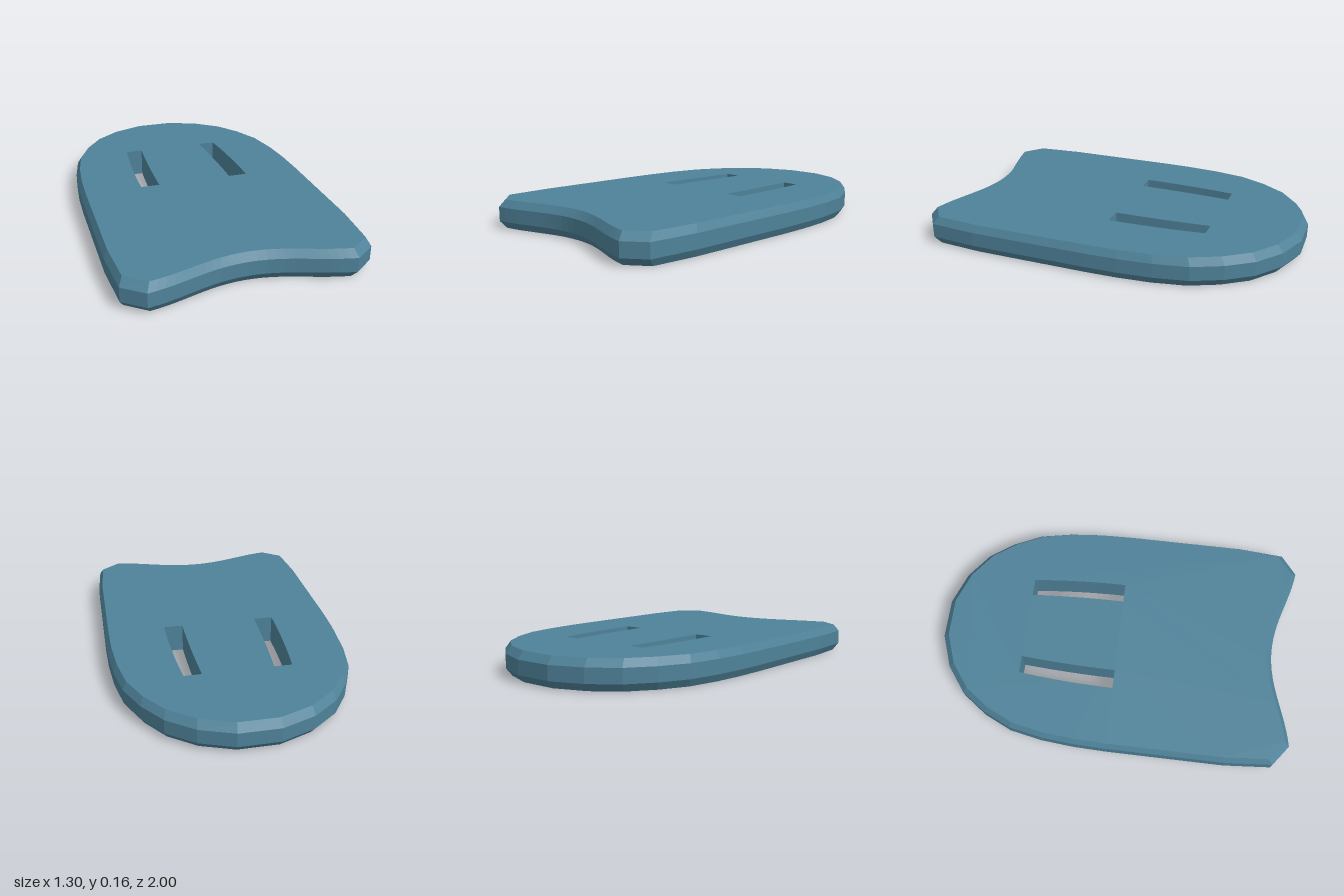
import * as THREE from 'three';
import { mergeGeometries } from 'three/addons/utils/BufferGeometryUtils.js';

const HEIGHT = 0.157, BEVEL = 0.04, INSET = 0.967;

// Outline as [x, z], clockwise seen from above, starting at the rounded back
function boardOutline() {
  const half = [
    [0.108, -1], [0.285, -0.935], [0.425, -0.83], [0.522, -0.695], [0.594, -0.54],
    [0.629, -0.36], [0.645, -0.18], [0.65, 0], [0.65, 0.65], [0.63, 0.91], [0.52, 0.995],
  ];
  // Wavy front edge, flat in the middle notch
  const wave = new THREE.CubicBezierCurve(
    new THREE.Vector2(0.52, 0.995), new THREE.Vector2(0.33, 0.965),
    new THREE.Vector2(0.2, 0.875), new THREE.Vector2(0, 0.875));
  for (const p of wave.getPoints(12).slice(1)) half.push([p.x, p.y]);
  const mirrored = half.slice(0, -1).reverse().map(([x, z]) => [-x, z]);
  return [...half, ...mirrored];
}

// Curved grip slot, counter-clockwise seen from above
function slotOutline(side) {
  const n = 6, outer = [], inner = [];
  for (let i = 0; i <= n; i++) {
    const t = i / n, z = -0.53 * t;
    outer.push([side * (0.315 - 0.03 * t * t), z]);
    inner.push([side * (0.21 - 0.02 * t * t), z]);
  }
  const ring = [...outer, ...inner.reverse()];
  return side > 0 ? ring : ring.reverse();
}

// Wall between two rings of equal length
function wall(low, y0, high, y1) {
  const pos = [];
  low.forEach((p, i) => {
    const j = (i + 1) % low.length;
    const a = [p[0], y0, p[1]], b = [low[j][0], y0, low[j][1]];
    const c = [high[j][0], y1, high[j][1]], d = [high[i][0], y1, high[i][1]];
    pos.push(...a, ...d, ...b, ...d, ...c, ...b);
  });
  const g = new THREE.BufferGeometry();
  g.setAttribute('position', new THREE.Float32BufferAttribute(pos, 3));
  return g;
}

// Flat face with slots; up = 1 faces upward, -1 downward
function face(ring, slots, y, up) {
  const flat = (r) => r.map(([x, z]) => new THREE.Vector2(x, -up * z));
  const shape = new THREE.Shape(flat(ring));
  shape.holes = slots.map((s) => new THREE.Path(flat(s)));
  const g = new THREE.ShapeGeometry(shape).toNonIndexed();
  g.deleteAttribute('uv');
  g.deleteAttribute('normal');
  return g.rotateX(-up * Math.PI / 2).translate(0, y, 0);
}

export function createModel() {
  const group = new THREE.Group();
  group.name = 'kickboard';
  const material = new THREE.MeshStandardMaterial({ color: 0x4f8299, flatShading: true });

  const outer = boardOutline();
  const inner = outer.map(([x, z]) => [x * INSET, z * INSET]);
  const slots = [slotOutline(1), slotOutline(-1)];

  const add = (name, parts) => {
    const g = mergeGeometries(parts);
    g.computeVertexNormals();
    const mesh = new THREE.Mesh(g, material);
    mesh.name = name;
    group.add(mesh);
  };

  // Board with bevelled rim
  add('board', [
    face(inner, slots, HEIGHT, 1),
    face(inner, slots, 0, -1),
    wall(inner, 0, outer, BEVEL),
    wall(outer, BEVEL, outer, HEIGHT - BEVEL),
    wall(outer, HEIGHT - BEVEL, inner, HEIGHT),
  ]);
  // Inner walls of the two grip slots
  add('gripSlots', slots.map((s) => wall(s, 0, s, HEIGHT)));
  return group;
}
